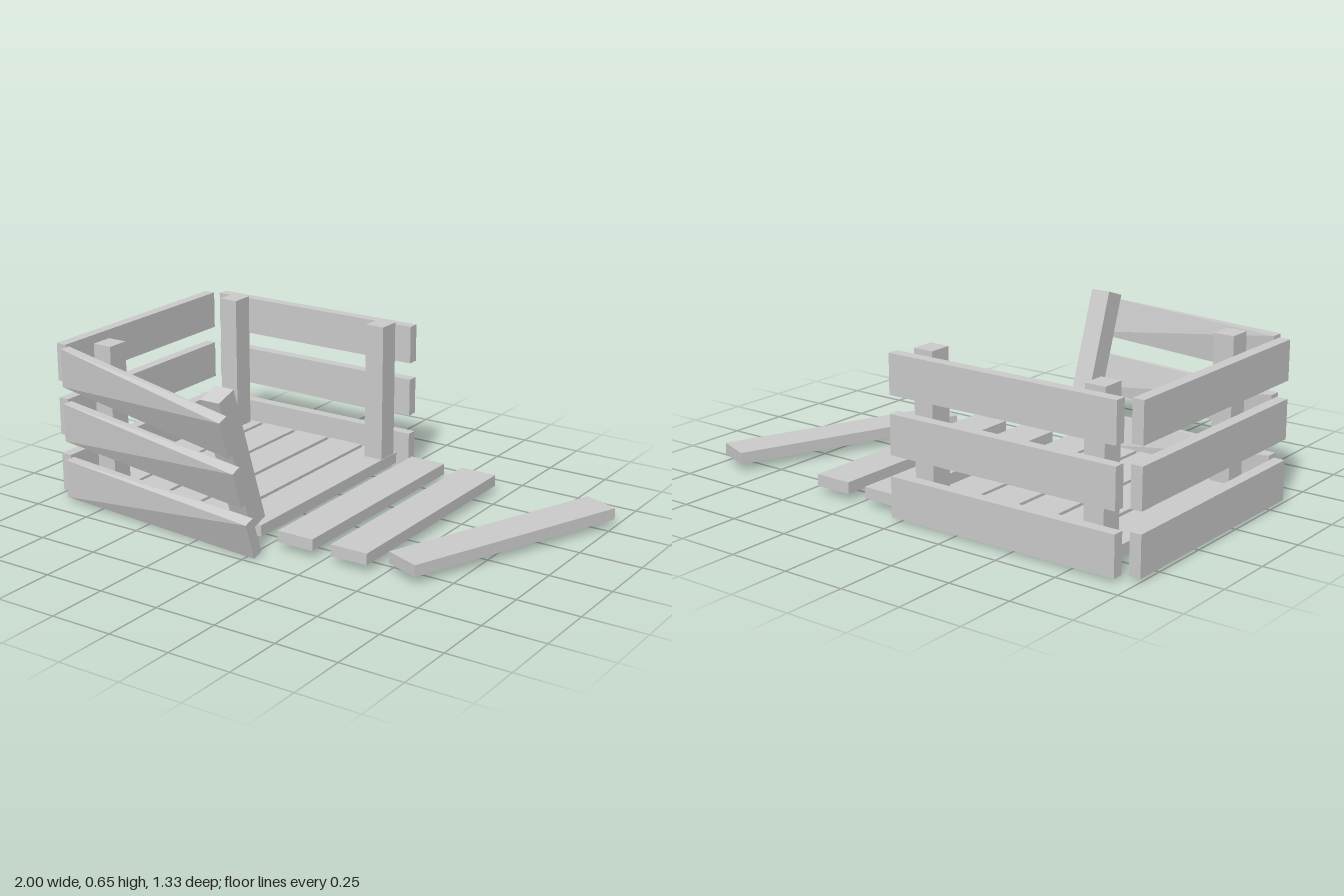
import * as THREE from 'three';

const material = new THREE.MeshStandardMaterial({ color: 0xcccccc, flatShading: true });

// Box given by its extents on each axis
function board(parent, name, [x0, x1], [y0, y1], [z0, z1]) {
  const mesh = new THREE.Mesh(new THREE.BoxGeometry(x1 - x0, y1 - y0, z1 - z0), material);
  mesh.position.set((x0 + x1) / 2, (y0 + y1) / 2, (z0 + z1) / 2);
  mesh.name = name;
  parent.add(mesh);
  return mesh;
}

function group(parent, name) {
  const g = new THREE.Group();
  g.name = name;
  parent.add(g);
  return g;
}

// Front slat: upright at its left end, swung out and leaning at its right end
function warpedSlat(parent, name, xs, ys, zs) {
  const mesh = board(parent, name, xs, ys, zs);
  const geo = mesh.geometry;
  geo.translate(...mesh.position.toArray());
  mesh.position.set(0, 0, 0);
  const p = geo.attributes.position;
  const c = Math.cos(0.328), s = Math.sin(0.328);
  for (let i = 0; i < p.count; i++) {
    if (p.getX(i) < xs[1] - 0.01) continue;
    const y = p.getY(i) - 0.012, z = p.getZ(i) - zs[1];
    p.setY(i, y * c - z * s);
    p.setZ(i, 0.468 + y * s + z * c);
  }
  mesh.geometry = geo.toNonIndexed();
  mesh.geometry.computeVertexNormals();
}

export function createModel() {
  const model = new THREE.Group();
  model.name = 'brokenCrate';
  const rows = [[0.012, 0.168], [0.248, 0.402], [0.472, 0.626]];
  const floorY = [0.03, 0.076];

  // Three walls of three slats each
  const side = group(model, 'sideWall');
  const back = group(model, 'backWall');
  const front = group(model, 'leaningFrontWall');
  for (const ys of rows) {
    board(side, 'sideSlat', [-1, -0.955], ys, [-0.617, 0.345]);
    board(back, 'backSlat', [-0.93, 0.033], ys, [-0.669, -0.624]);
    warpedSlat(front, 'frontSlat', [-0.93, 0.033], ys, [0.354, 0.4]);
  }

  // Floor planks still in place
  const floor = group(model, 'floor');
  for (let i = 0; i < 5; i++) {
    const x = -0.868 + i * 0.172;
    board(floor, 'floorPlank', [x, x + 0.154], floorY, [-0.624, 0.341]);
  }

  // Planks fallen away from the floor
  const loose = group(model, 'loosePlanks');
  for (const x of [0.054, 0.29]) {
    board(loose, 'loosePlank', [x, x + 0.155], floorY, [-0.615, 0.348]);
  }
  const turned = board(loose, 'turnedPlank', [0.672, 0.825], floorY, [-0.617, 0.347]);
  turned.rotation.y = -0.378;

  // Corner posts, one leaning with the front wall
  const posts = group(model, 'cornerPosts');
  const postY = [0.074, 0.64], left = [-0.842, -0.76], right = [-0.11, -0.028];
  board(posts, 'backLeftPost', left, postY, [-0.604, -0.511]);
  board(posts, 'backRightPost', right, postY, [-0.604, -0.511]);
  board(posts, 'frontLeftPost', left, postY, [0.215, 0.307]);
  const leaning = board(posts, 'leaningPost', right, [0.074, 0.65], [0.402, 0.494]);
  leaning.rotation.x = 0.325;

  return model;
}
